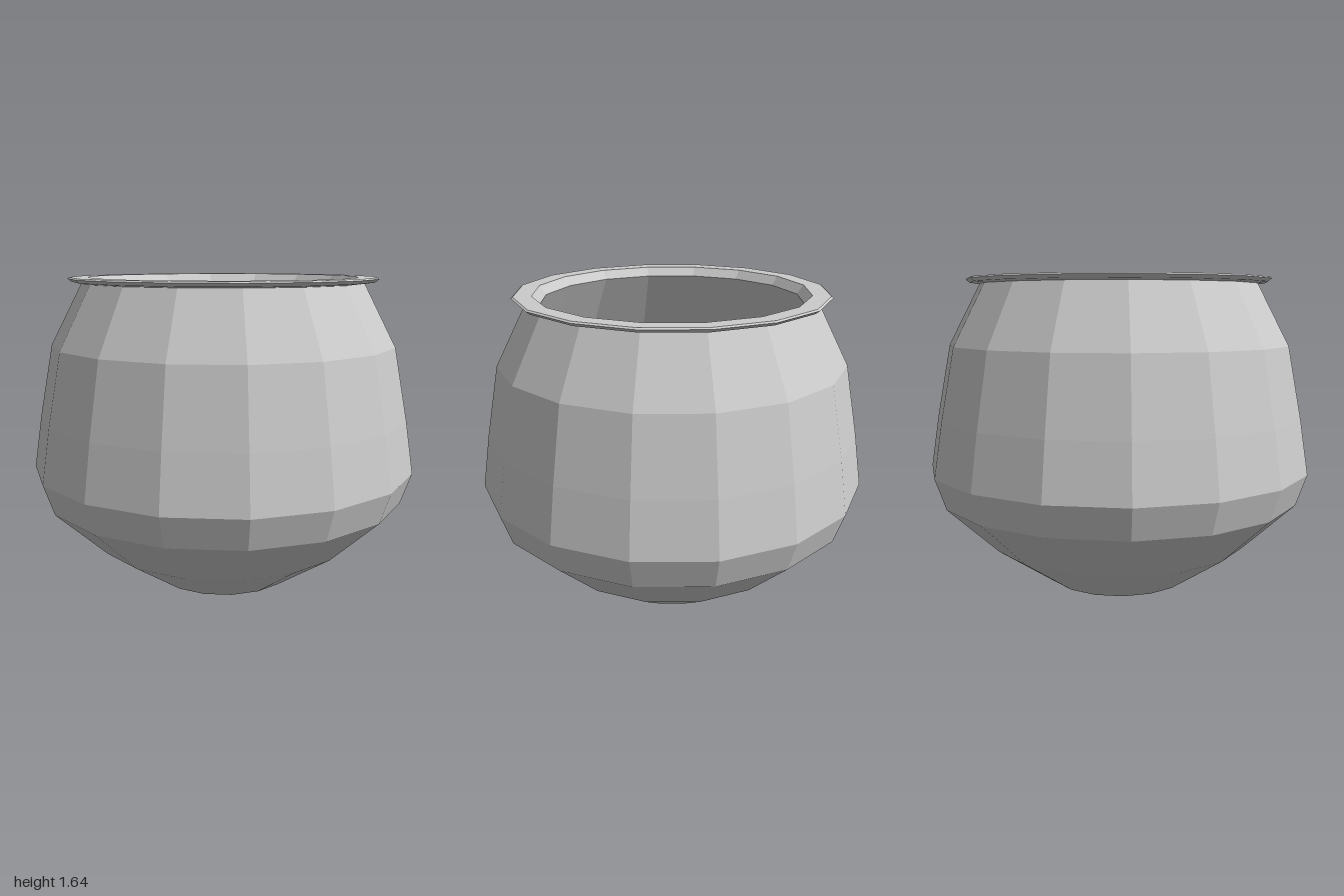
import * as THREE from 'three';

const SIDES = 16;

// Turns a list of [radius, height] pairs into a faceted ring of surfaces.
function turned(name, profile, material) {
  const points = profile.map(([r, y]) => new THREE.Vector2(r, y));
  const mesh = new THREE.Mesh(new THREE.LatheGeometry(points, SIDES), material);
  mesh.name = name;
  return mesh;
}

export function createModel() {
  const group = new THREE.Group();
  group.name = 'pot';
  const material = new THREE.MeshStandardMaterial({ color: 0xcccccc, flatShading: true });

  // Outer wall, from the bottom point up to the neck
  group.add(turned('outerWall', [
    [0, 0], [0.37, 0.045], [0.68, 0.255], [0.945, 0.505], [1, 0.665],
    [0.957, 0.94], [0.887, 1.305], [0.725, 1.615],
  ], material));

  // Flared rim with a flat top and a short bevel into the mouth
  group.add(turned('rim', [
    [0.725, 1.615], [0.775, 1.622], [0.795, 1.638], [0.785, 1.645],
    [0.695, 1.645], [0.66, 1.6],
  ], material));

  // Inner wall, from the mouth down to the floor
  group.add(turned('innerWall', [
    [0.66, 1.6], [0.835, 1.285], [0.905, 0.93], [0.945, 0.67],
    [0.895, 0.53], [0.645, 0.295], [0.36, 0.095], [0, 0.05],
  ], material));

  return group;
}
